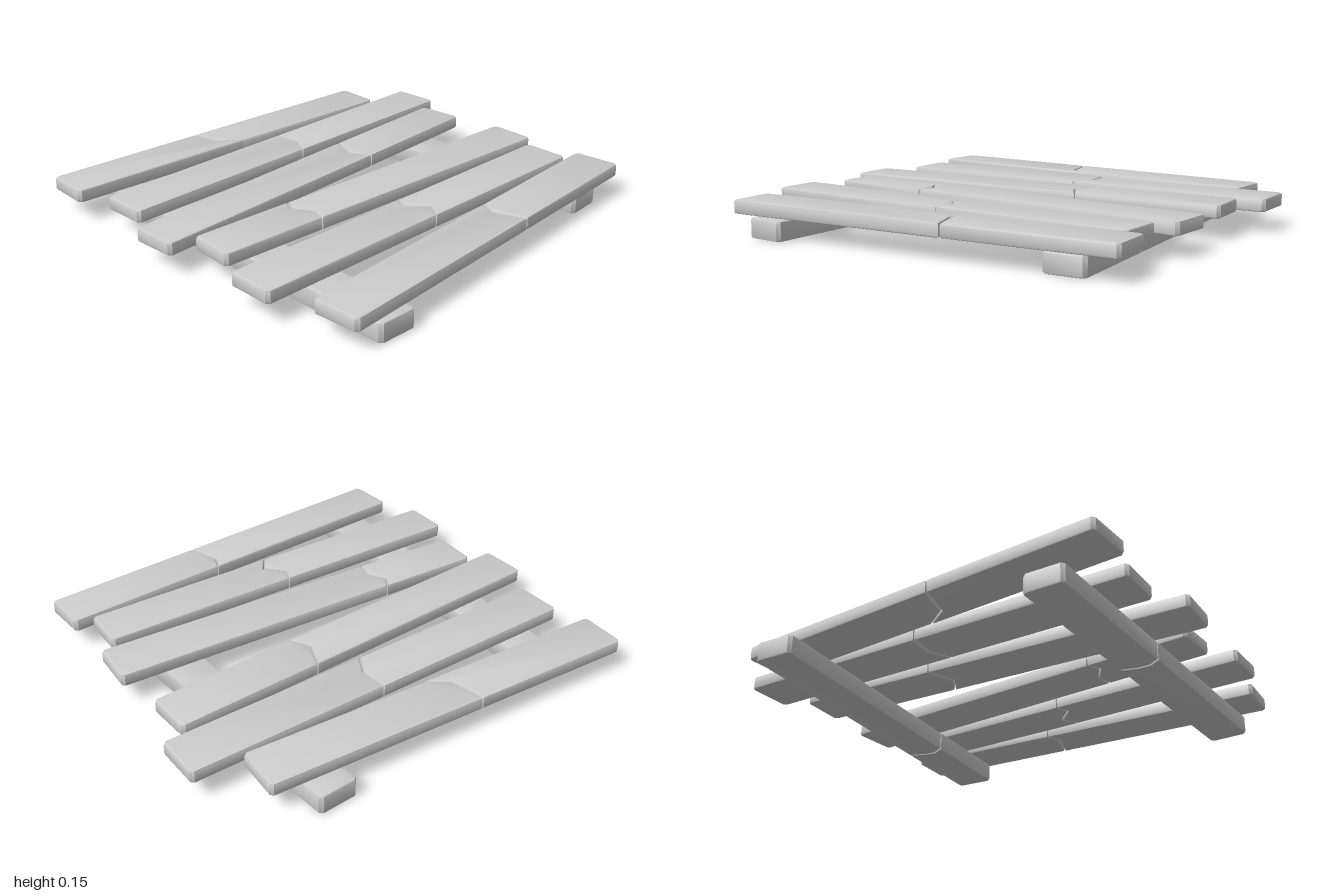
import * as THREE from 'three';
import { toCreasedNormals } from 'three/addons/utils/BufferGeometryUtils.js';

const BEVEL = 0.01, CORNER = 0.014, GAP = 0.003;

// Cuts a corner: returns two points either side of c, towards a and b
function cutCorner(a, c, b) {
  const step = (to) => c.clone().add(to.clone().sub(c).setLength(CORNER));
  return [step(a), step(b)];
}

// One broken half of a board: two end corners plus the jagged crack edge, in [x, z]
function boardHalf(name, crack, endA, endB, y0, y1, material) {
  const v = ([x, z]) => new THREE.Vector2(x, -z);
  const a = v(endA), b = v(endB), edge = crack.map(v);
  const middle = edge[0].clone().add(edge[edge.length - 1]).multiplyScalar(0.5);
  const shift = a.clone().add(b).multiplyScalar(0.5).sub(middle).setLength(GAP);
  edge.forEach((p) => p.add(shift));
  const outline = [
    ...edge,
    ...cutCorner(edge[edge.length - 1], b, a),
    ...cutCorner(b, a, edge[0]),
  ];
  let geometry = new THREE.ExtrudeGeometry(new THREE.Shape(outline), {
    depth: y1 - y0 - 2 * BEVEL, bevelEnabled: true, bevelThickness: BEVEL,
    bevelSize: BEVEL, bevelOffset: -BEVEL, bevelSegments: 2,
  });
  geometry.rotateX(-Math.PI / 2).translate(0, y0 + BEVEL, 0);
  geometry = toCreasedNormals(geometry, 0.6);
  const mesh = new THREE.Mesh(geometry, material);
  mesh.name = name;
  return mesh;
}

// A board snapped in two: corners a, b at one end and c, d at the other (a-c and b-d are the long edges)
function brokenBoard(name, [a, b, c, d], crack, y0, y1, material) {
  const board = new THREE.Group();
  board.name = name;
  board.add(
    boardHalf('firstHalf', crack, a, b, y0, y1, material),
    boardHalf('secondHalf', crack, c, d, y0, y1, material),
  );
  return board;
}

export function createModel() {
  const model = new THREE.Group();
  model.name = 'plankPlatform';
  const material = new THREE.MeshStandardMaterial({ color: 0xcccccc });

  // Six crooked planks, back to front: end corners, then the crack from back edge to front edge
  const planks = [
    [[[-0.94, -0.92], [-0.955, -0.705], [0.8, -0.805], [0.785, -0.59]],
      [[-0.185, -0.87], [-0.15, -0.715], [-0.055, -0.647]]],
    [[[-0.9, -0.575], [-0.9, -0.355], [1, -0.575], [1, -0.355]],
      [[0.09, -0.575], [0.1, -0.45], [0.05, -0.355]]],
    [[[-1, -0.24], [-0.995, -0.025], [0.89, -0.32], [0.9, -0.105]],
      [[0.22, -0.292], [0.17, -0.165], [0.222, -0.075]]],
    [[[-0.885, -0.01], [-0.9, 0.2], [0.93, 0.11], [0.915, 0.33]],
      [[-0.405, 0.022], [-0.44, 0.08], [-0.39, 0.16], [-0.41, 0.235]]],
    [[[-0.98, 0.315], [-0.985, 0.53], [0.84, 0.37], [0.83, 0.585]],
      [[-0.07, 0.343], [-0.095, 0.41], [-0.02, 0.485], [-0.07, 0.558]]],
    [[[-0.91, 0.68], [-0.9, 0.895], [0.91, 0.595], [0.92, 0.81]],
      [[0.145, 0.631], [0.115, 0.7], [0.165, 0.845]]],
  ];
  planks.forEach(([corners, crack], i) =>
    model.add(brokenBoard(`plank${i + 1}`, corners, crack, 0.092, 0.152, material)));

  // Two thicker support beams underneath, running front to back
  model.add(brokenBoard('rightBeam',
    [[-0.75, -0.8], [-0.57, -0.8], [-0.79, 0.905], [-0.61, 0.915]],
    [[-0.768, -0.04], [-0.72, -0.01], [-0.665, -0.008], [-0.588, -0.03]], 0, 0.088, material));
  model.add(brokenBoard('leftBeam',
    [[0.47, -0.9], [0.65, -0.91], [0.592, 0.8], [0.775, 0.79]],
    [[0.556, 0.29], [0.615, 0.32], [0.66, 0.313], [0.738, 0.285]], 0, 0.088, material));

  return model;
}
